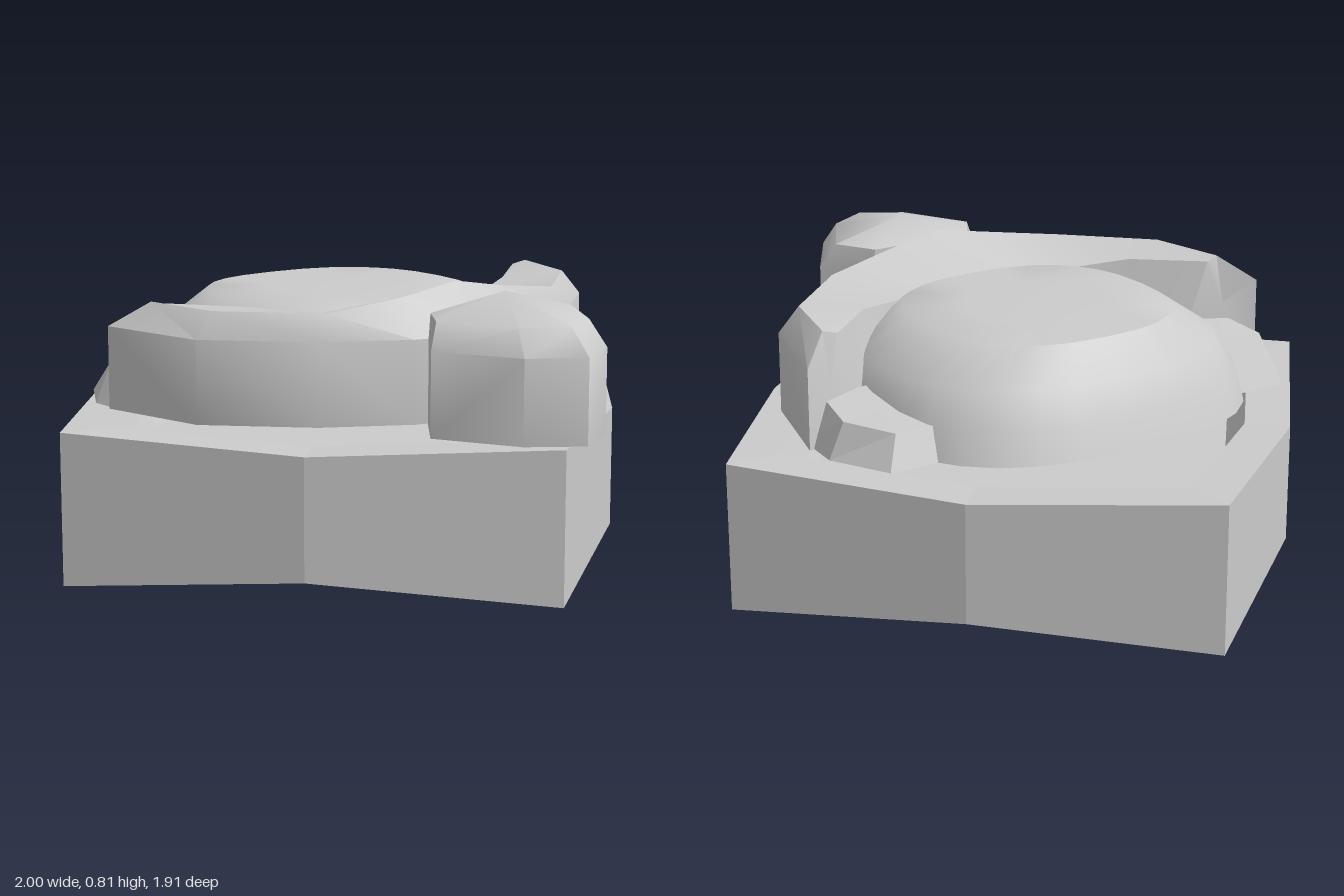
import * as THREE from 'three';
import { toCreasedNormals } from 'three/addons/utils/BufferGeometryUtils.js';

// Skins a stack of closed loops and closes both ends with fans
function loft(name, loops, crease, apex) {
  const n = loops[0].length, pos = [];
  const tri = (a, b, c) => pos.push(...a, ...b, ...c);
  const centre = (l) => [0, 1, 2].map((k) => l.reduce((s, p) => s + p[k], 0) / n);
  const last = loops[loops.length - 1];
  const start = centre(loops[0]), end = apex || centre(last);
  for (let j = 0; j < n; j++) {
    const k = (j + 1) % n;
    tri(start, loops[0][k], loops[0][j]);
    for (let i = 0; i + 1 < loops.length; i++) {
      tri(loops[i][j], loops[i][k], loops[i + 1][k]);
      tri(loops[i][j], loops[i + 1][k], loops[i + 1][j]);
    }
    tri(end, last[j], last[k]);
  }
  let g = new THREE.BufferGeometry();
  g.setAttribute('position', new THREE.Float32BufferAttribute(pos, 3));
  if (crease > 0) g = toCreasedNormals(g, crease);
  else g.computeVertexNormals();
  const mesh = new THREE.Mesh(g, new THREE.MeshStandardMaterial({ color: 0xcccccc, side: THREE.DoubleSide }));
  mesh.name = name;
  return mesh;
}

const flip = (p) => [p[0], p[1], -p[2]];

// Eight-sided tray outline: corners and edge middles have their own heights
function trayLoop(scale, yCorner, yMiddle) {
  return Array.from({ length: 8 }, (_, i) => {
    const a = (i * Math.PI) / 4, corner = i % 2 === 0;
    const r = scale * (corner ? 0.957 : 0.757);
    return [-0.04 + r * Math.cos(a), corner ? yCorner : yMiddle, -r * Math.sin(a)];
  });
}

// Full oval between two x limits
function ovalLoop(x0, x1, rz, y) {
  const bulge = (v) => Math.sign(v) * Math.abs(v) ** 0.8;
  return Array.from({ length: 28 }, (_, i) => {
    const a = (i / 28) * Math.PI * 2;
    return [(x0 + x1) / 2 + ((x1 - x0) / 2) * bulge(Math.cos(a)), y, -rz * bulge(Math.sin(a))];
  });
}

export function createModel() {
  const model = new THREE.Group();

  // Tray with a shallow recess
  model.add(loft('tray', [
    trayLoop(1, 0, 0.06), trayLoop(1, 0.425, 0.4),
    trayLoop(0.83, 0.42, 0.4), trayLoop(0.76, 0.3, 0.3),
  ], 0));

  // Rounded shell in the middle
  model.add(loft('shell', [
    ovalLoop(-0.6, 0.38, 0.57, 0.45), ovalLoop(-0.565, 0.37, 0.55, 0.54),
    ovalLoop(-0.52, 0.35, 0.5, 0.63), ovalLoop(-0.44, 0.26, 0.36, 0.725),
    ovalLoop(-0.28, 0.1, 0.2, 0.73),
  ], 0.7, [-0.09, 0.735, 0]));

  // Collar: each station is outer x z, ridge x y z, inner x y z, foot of inner wall x z
  const stations = [
    [-0.13, 0.75, -0.05, 0.75, 0.66, -0.06, 0.74, 0.62, -0.05, 0.52],
    [0.19, 0.67, 0.18, 0.75, 0.61, 0.1, 0.735, 0.45, 0.06, 0.4],
    [0.41, 0.43, 0.39, 0.75, 0.39, 0.19, 0.71, 0.28, 0.16, 0.25],
    [0.53, 0.2, 0.44, 0.78, 0.17, 0.23, 0.715, 0.15, 0.2, 0.14],
    [0.57, 0, 0.45, 0.81, 0, 0.25, 0.715, 0, 0.22, 0],
  ];
  const section = ([ox, oz, rx, ry, rz, ix, iy, iz, fx, fz]) => [
    [fx, 0.45, fz], [ix, iy, iz], [rx, ry, rz], [ox, 0.68, oz], [ox, 0.45, oz],
  ];
  const half = stations.map(section);
  const otherHalf = half.slice(0, -1).reverse().map((l) => l.map(flip));
  model.add(loft('collar', [...half, ...otherHalf], 0.75));

  // Head with a peaked crown
  const headLoop = (y, pts) => [
    ...pts.map(([x, z]) => [x, y, -z]),
    ...pts.slice(1).reverse().map(([x, z]) => [x, y, z]),
  ];
  const outline = [[1, 0], [0.91, 0.14], [0.69, 0.27], [0.55, 0.17]];
  model.add(loft('head', [
    headLoop(0.45, outline), headLoop(0.68, outline),
    headLoop(0.75, [[0.93, 0], [0.86, 0.12], [0.66, 0.23], [0.545, 0.16]]),
  ], 0.75, [0.66, 0.81, 0]));

  // Pair of low feet
  const foot = [
    [[-0.39, 0.45, 0.45], [-0.39, 0.45, 0.65], [-0.22, 0.45, 0.74], [-0.05, 0.45, 0.73], [-0.05, 0.45, 0.45]],
    [[-0.35, 0.54, 0.45], [-0.35, 0.54, 0.61], [-0.22, 0.55, 0.695], [-0.05, 0.57, 0.67], [-0.05, 0.57, 0.45]],
  ];
  model.add(loft('leftFoot', foot, 0));
  model.add(loft('rightFoot', foot.map((l) => l.map(flip).reverse()), 0));

  return model;
}
